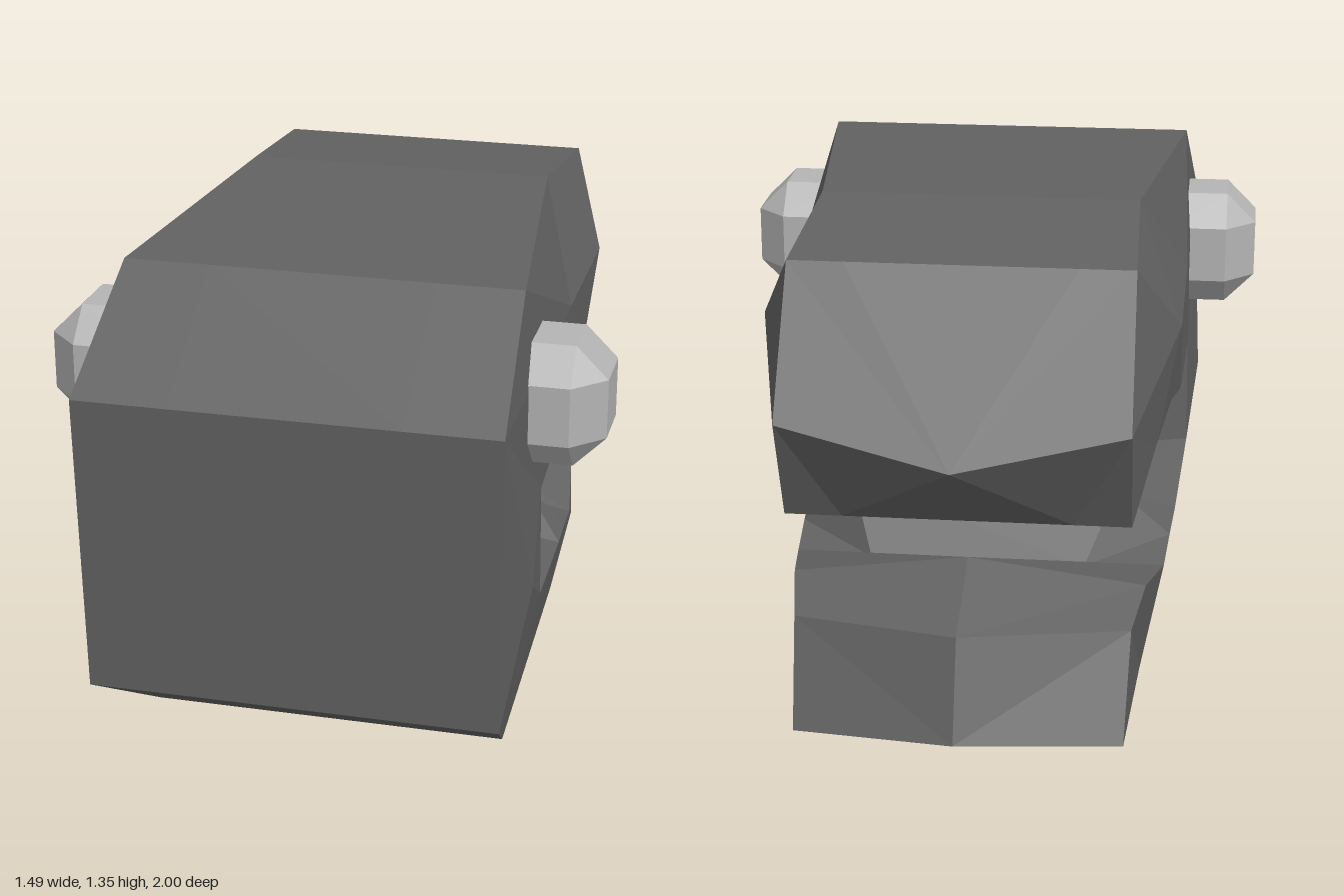
import * as THREE from 'three';
import { ConvexGeometry } from 'three/addons/geometries/ConvexGeometry.js';

// Outline of the head, clockwise: side edge [z, y, halfWidth], then optional inner [z, y, halfWidth]
const rows = [
  [1, 1.075, 0.555], [0.62, 1.325, 0.53], [-0.26, 1.35, 0.43], [-0.73, 1.3, 0.445],
  // upper snout and tooth ridge
  [-0.95, 0.935, 0.45, -1, 0.84, 0], [-0.83, 0.645, 0.45], [-0.62, 0.79, 0.5],
  [-0.37, 0.825, 0.53, -0.415, 0.635, 0.43], [-0.16, 0.785, 0.55],
  // throat
  [0.45, 0.71, 0.555, 0.31, 0.59, 0.3], [0.45, 0.395, 0.56, 0.34, 0.41, 0.3],
  // lower teeth and jaw tip
  [0.02, 0.345, 0.54, 0.05, 0.39, 0.3], [-0.13, 0.325, 0.53, -0.16, 0.47, 0.38],
  [-0.29, 0.3, 0.52, -0.35, 0.315, 0.3], [-0.56, 0.36, 0.48, -0.59, 0.435, 0],
  [-0.74, 0.31, 0.45, -0.87, 0.33, 0], [-0.86, 0.03, 0.44, -0.96, 0.06, 0],
  // underside and front
  [-0.35, 0.005, 0.46], [0.59, 0.01, 0.49], [0.97, 0.25, 0.55],
];

// Extra cheek points within each side panel (indices 20 to 22)
const cheek = [[0.72, 0.55, 0.585], [0.03, 1.075, 0.555], [-0.48, 1.075, 0.555]];

// Side panel triangles, clockwise seen from +x
const sideFaces = [
  [0, 1, 21], [1, 2, 21], [2, 22, 21], [2, 3, 22], [3, 4, 22], [4, 5, 6],
  [4, 6, 22], [6, 7, 22], [7, 8, 22], [22, 8, 21], [21, 8, 9], [0, 21, 9],
  [0, 9, 20], [9, 10, 20], [20, 10, 18], [20, 18, 19], [0, 20, 19], [10, 11, 18],
  [11, 12, 18], [12, 17, 18], [12, 13, 17], [13, 14, 17], [14, 15, 17], [15, 16, 17],
];

function headGeometry() {
  const pos = [];
  const tri = (a, b, c) => {
    const area = new THREE.Triangle(a, b, c).getArea();
    if (area > 1e-6) for (const p of [a, b, c]) pos.push(p.x, p.y, p.z);
  };
  const point = ([z, y, w], s) => new THREE.Vector3(w * s, y, z);

  // Strips across the head between neighbouring rows
  const across = rows.map((r) => {
    const inner = r.length > 3 ? r.slice(3) : [r[0], r[1], 0.3];
    return [point(r, 1), point(inner, 1), point(inner, -1), point(r, -1)];
  });
  across.forEach((a, k) => {
    const b = across[(k + 1) % across.length];
    for (let i = 0; i < 3; i++) {
      if (i < 2) {
        tri(a[i], b[i], b[i + 1]);
        tri(a[i], b[i + 1], a[i + 1]);
      } else {
        tri(a[i], b[i], a[i + 1]);
        tri(b[i], b[i + 1], a[i + 1]);
      }
    }
  });

  // Mirrored side panels
  const side = [...rows, ...cheek];
  for (const [a, b, c] of sideFaces) {
    tri(point(side[c], 1), point(side[b], 1), point(side[a], 1));
    tri(point(side[a], -1), point(side[b], -1), point(side[c], -1));
  }

  const g = new THREE.BufferGeometry();
  g.setAttribute('position', new THREE.Float32BufferAttribute(pos, 3));
  g.computeVertexNormals();
  return g;
}

// Faceted eyeball: a cube with bevelled edges and corners
function eyeGeometry(inner, outer) {
  const pts = [];
  for (const x of [-1, 1]) for (const y of [-1, 1]) for (const z of [-1, 1]) {
    pts.push(new THREE.Vector3(x * outer, y * inner, z * inner));
    pts.push(new THREE.Vector3(x * inner, y * outer, z * inner));
    pts.push(new THREE.Vector3(x * inner, y * inner, z * outer));
  }
  return new ConvexGeometry(pts);
}

export function createModel() {
  const group = new THREE.Group();
  group.name = 'jawedHead';
  const headMat = new THREE.MeshStandardMaterial({ color: 0x626262 });
  headMat.name = 'darkGrey';
  const eyeMat = new THREE.MeshStandardMaterial({ color: 0xb4b4b4 });
  eyeMat.name = 'lightGrey';

  const head = new THREE.Mesh(headGeometry(), headMat);
  head.name = 'head';
  group.add(head);

  const eyeGeo = eyeGeometry(0.08, 0.165);
  for (const s of [1, -1]) {
    const eye = new THREE.Mesh(eyeGeo, eyeMat);
    eye.name = s > 0 ? 'leftEye' : 'rightEye';
    eye.position.set(s * 0.58, 1.015, 0.52);
    group.add(eye);
  }
  return group;
}
